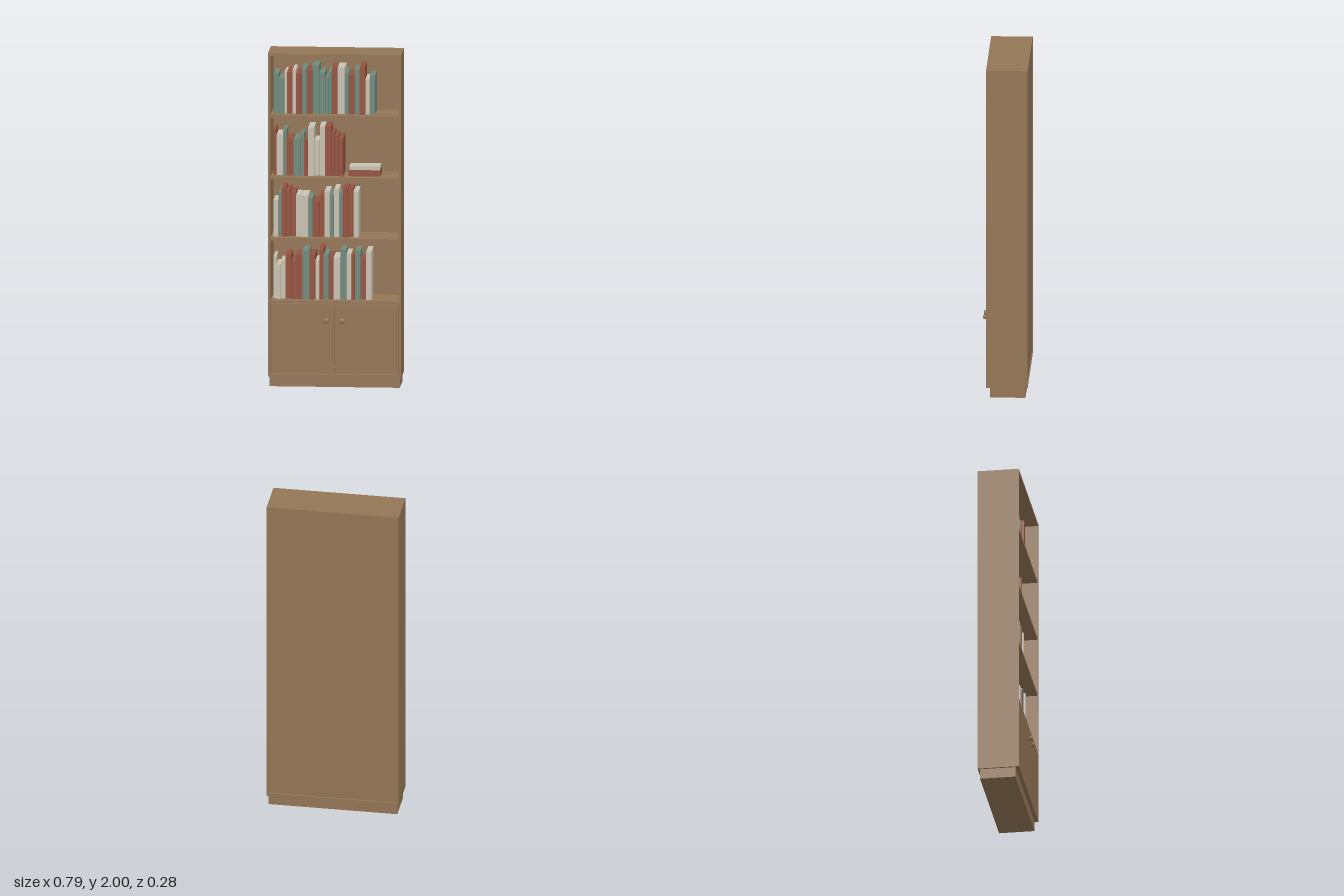
import * as THREE from 'three';

export function createModel() {
  const model = new THREE.Group();
  model.name = 'bookcase';
  const material = (name, color) => {
    const m = new THREE.MeshStandardMaterial({ color });
    m.name = name;
    return m;
  };
  const wood = material('wood', 0x947656);
  const covers = {
    r: material('red cover', 0x95523f),
    g: material('green cover', 0x6f8a7b),
    w: material('cream cover', 0xc9c2b2),
  };

  // Box given by its lower and upper corners
  const box = (name, mat, [x0, y0, z0], [x1, y1, z1], parent = model) => {
    const mesh = new THREE.Mesh(new THREE.BoxGeometry(x1 - x0, y1 - y0, z1 - z0), mat);
    mesh.position.set((x0 + x1) / 2, (y0 + y1) / 2, (z0 + z1) / 2);
    mesh.name = name;
    parent.add(mesh);
  };

  // Carcass
  const W = 0.395, IN = 0.379, BACK = -0.138, FRONT = 0.108, PANEL = -0.128;
  box('plinth', wood, [-0.385, 0, -0.125], [0.385, 0.062, 0.086]);
  box('topBoard', wood, [-W, 1.984, BACK], [W, 2, FRONT]);
  box('bottomBoard', wood, [-IN, 0.062, BACK], [IN, 0.079, FRONT]);
  box('rightSide', wood, [-W, 0.062, BACK], [-IN, 1.984, FRONT]);
  box('leftSide', wood, [IN, 0.062, BACK], [W, 1.984, FRONT]);
  box('backPanel', wood, [-IN, 0.083, -0.134], [IN, 1.984, PANEL]);

  // Shelves, listed by the height of the upper surface
  const shelves = [0.519, 0.894, 1.259, 1.63];
  shelves.forEach((y) => box('shelf', wood, [-IN, y - 0.016, PANEL], [IN, y, 0.104]));

  // Doors and turned knobs
  const knobProfile = [
    [0, 0], [0.006, 0], [0.0055, 0.01], [0.009, 0.014], [0.014, 0.02],
    [0.0152, 0.024], [0.0135, 0.028], [0.008, 0.0305], [0, 0.031],
  ].map(([r, h]) => new THREE.Vector2(r, h));
  const knobShape = new THREE.LatheGeometry(knobProfile, 24).rotateX(Math.PI / 2);
  for (const side of [-1, 1]) {
    const a = side * 0.002, b = side * 0.377;
    box('door', wood, [Math.min(a, b), 0.082, 0.09], [Math.max(a, b), 0.5, 0.107]);
    const knob = new THREE.Mesh(knobShape, wood);
    knob.position.set(side * 0.046, 0.403, 0.107);
    knob.name = 'knob';
    model.add(knob);
  }

  // Books from bottom row to top: cover colours, pitches and heights in thousandths
  const rows = [
    {
      colours: 'wwwrrrgrwrgrwgwrgrw', lastDepth: 0.186,
      widths: [18, 26, 28, 35, 25, 41, 41, 35, 23, 26, 32, 26, 41, 35, 30, 21, 35, 32, 33],
      heights: [254, 206, 228, 265, 228, 265, 291, 270, 233, 302, 270, 259, 254, 296, 275, 270, 291, 243, 291],
    },
    {
      colours: 'wgrrrwwgrrwgwgrrw', lastDepth: 0.186,
      widths: [31, 19, 25, 26, 33, 33, 42, 26, 37, 32, 32, 24, 29, 21, 32, 32, 32],
      heights: [217, 265, 291, 280, 265, 249, 249, 233, 212, 249, 275, 254, 286, 259, 291, 286, 275],
    },
    {
      colours: 'rwgrggrwwwrrrr', lastDepth: 0.186,
      widths: [18, 39, 21, 42, 41, 21, 23, 37, 32, 32, 37, 21, 24, 28],
      heights: [275, 243, 270, 222, 222, 249, 217, 291, 212, 296, 296, 259, 243, 228],
    },
    {
      colours: 'ggwrwrgrggggrwgrgrwg', lastDepth: 0.165,
      widths: [32, 33, 16, 33, 21, 35, 28, 33, 41, 35, 19, 20, 33, 45, 24, 32, 31, 33, 26, 33],
      heights: [238, 212, 249, 249, 265, 243, 270, 259, 291, 249, 217, 254, 280, 280, 249, 238, 265, 286, 212, 233],
    },
  ];
  let seed = 7;
  const random = () => (seed = (seed * 16807) % 2147483647) / 2147483647;
  rows.forEach(({ colours, widths, heights, lastDepth }, row) => {
    const group = new THREE.Group();
    group.name = 'bookRow';
    model.add(group);
    const y = shelves[row], z = -0.125;
    let x = -0.366;
    widths.forEach((width, i) => {
      const depth = i === widths.length - 1 ? lastDepth : 0.16 + 0.028 * random();
      box('book', covers[colours[i]], [x, y, z],
        [x + width / 1000 - 0.002, y + heights[i] / 1000, z + depth], group);
      x += width / 1000;
    });
  });

  // Two books lying flat
  box('lyingBook', covers.r, [0.08, 1.259, -0.075], [0.267, 1.296, 0.047]);
  box('lyingBook', covers.w, [0.083, 1.296, -0.072], [0.264, 1.318, 0.044]);

  return model;
}
